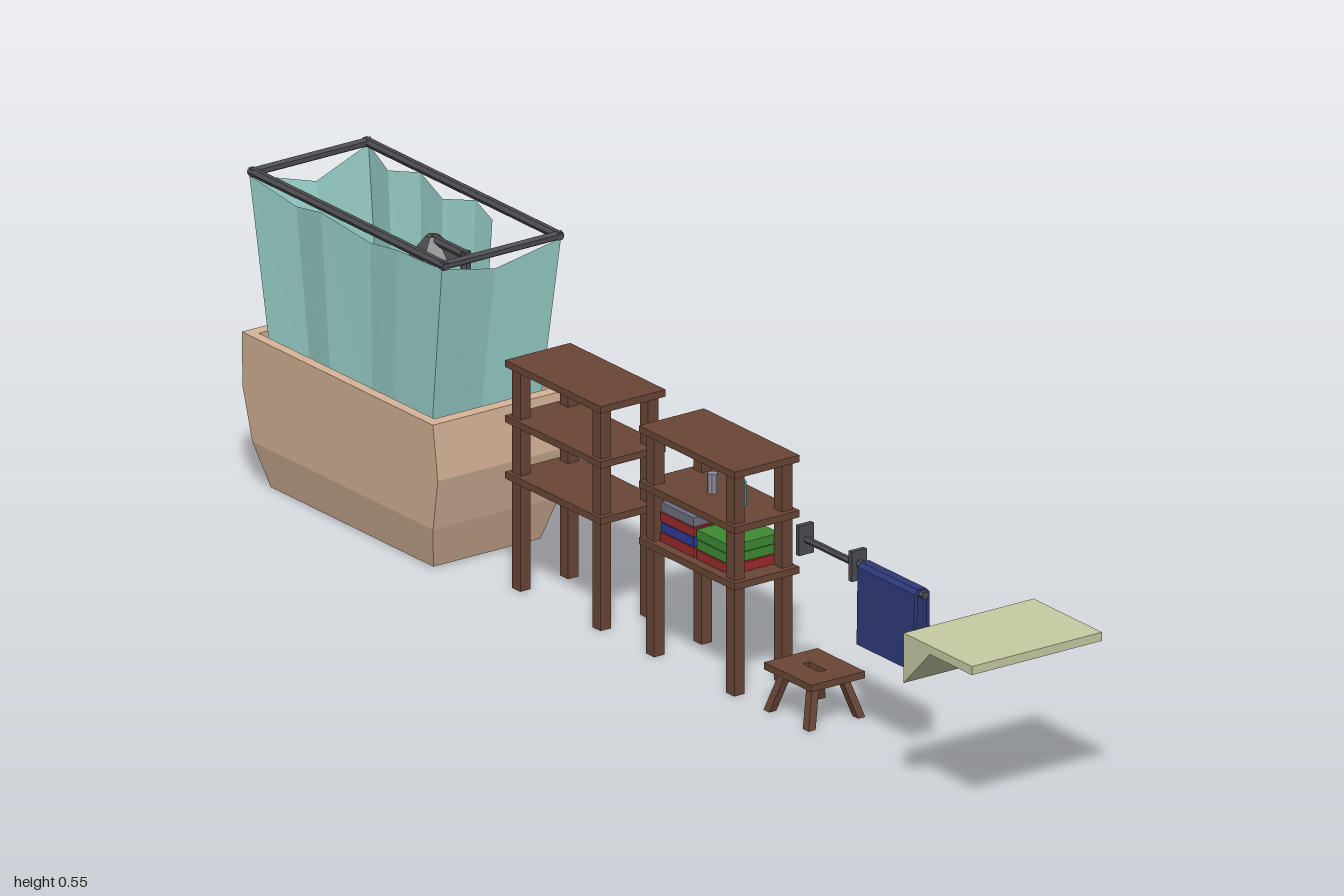
import * as THREE from 'three';

const mat = (color, side = THREE.FrontSide) =>
  new THREE.MeshStandardMaterial({ color, flatShading: true, side });

const WOOD = mat(0x6a4636), TAN = mat(0xd6b498), METAL = mat(0x4c4c52), NAVY = mat(0x2e3a78);
const TEAL = mat(0x9ad2cc, THREE.DoubleSide), OLIVE = mat(0xc6cba3);
const RED = mat(0x9a2a2a), BLUE = mat(0x2c3c96), GREEN = mat(0x3f8a35), GREY = mat(0x6c6f80);
const BOTTLE_TEAL = mat(0x4fa3a3), BOTTLE_GREY = mat(0x8f8a98);

function add(parent, name, geometry, material, x = 0, y = 0, z = 0) {
  const mesh = new THREE.Mesh(geometry, material);
  mesh.name = name;
  mesh.position.set(x, y, z);
  parent.add(mesh);
  return mesh;
}

const box = (parent, name, material, w, h, d, x, y, z) =>
  add(parent, name, new THREE.BoxGeometry(w, h, d), material, x, y, z);

function group(parent, name, x = 0, y = 0, z = 0) {
  const g = new THREE.Group();
  g.name = name;
  g.position.set(x, y, z);
  parent.add(g);
  return g;
}

// Cylinder running between two points
function rod(parent, name, material, a, b, r, sides = 6) {
  const p = new THREE.Vector3(...a), q = new THREE.Vector3(...b), dir = q.clone().sub(p);
  const mesh = add(parent, name, new THREE.CylinderGeometry(r, r, dir.length(), sides), material);
  mesh.position.copy(p).add(q).multiplyScalar(0.5);
  mesh.quaternion.setFromUnitVectors(new THREE.Vector3(0, 1, 0), dir.normalize());
  return mesh;
}

// Skin over rectangular rings [halfX, y, halfZ], closed at both ends
function ringSkin(rings) {
  const pos = [], idx = [];
  for (const [x, y, z] of rings) pos.push(x, y, z, x, y, -z, -x, y, -z, -x, y, z);
  for (let r = 0; r < rings.length - 1; r++)
    for (let i = 0; i < 4; i++) {
      const a = r * 4 + i, b = r * 4 + (i + 1) % 4;
      idx.push(a, b, b + 4, a, b + 4, a + 4);
    }
  const e = (rings.length - 1) * 4;
  idx.push(0, 2, 1, 0, 3, 2, e, e + 1, e + 2, e, e + 2, e + 3);
  const g = new THREE.BufferGeometry();
  g.setAttribute('position', new THREE.Float32BufferAttribute(pos, 3));
  g.setIndex(idx);
  const flat = g.toNonIndexed();
  flat.computeVertexNormals();
  return flat;
}

// Folded sheet hanging from top points [x, y, z], tapering towards the hem
function curtain(parent, name, points) {
  const pos = [], idx = [];
  points.forEach(([x, y, z], i) => {
    pos.push(x, y, z, x * 0.82, 0.2, z * 0.9);
    if (i) idx.push(2 * i - 2, 2 * i - 1, 2 * i + 1, 2 * i - 2, 2 * i + 1, 2 * i);
  });
  const g = new THREE.BufferGeometry();
  g.setAttribute('position', new THREE.Float32BufferAttribute(pos, 3));
  g.setIndex(idx);
  const flat = g.toNonIndexed();
  flat.computeVertexNormals();
  add(parent, name, flat, TEAL);
}

function makeBath(parent) {
  const bath = group(parent, 'bath', -0.732);
  // Tub: outer wall, rim, inner wall and floor
  add(bath, 'tub', ringSkin([
    [0.223, 0.002, 0.108], [0.248, 0.078, 0.127], [0.268, 0.17, 0.132], [0.262, 0.267, 0.1375],
    [0.24, 0.267, 0.119], [0.245, 0.17, 0.115], [0.225, 0.085, 0.108], [0.205, 0.03, 0.095],
  ]), TAN);

  // Curtain rail frame
  const X = 0.262, Y = 0.54, Z = 0.115;
  for (const s of [-1, 1]) {
    rod(bath, 'longRail', METAL, [-X - 0.006, Y, s * Z], [X + 0.006, Y, s * Z], 0.008);
    rod(bath, 'endRail', METAL, [s * X, Y, -Z - 0.006], [s * X, Y, Z + 0.006], 0.008);
  }

  // Curtains: full front and ends, part-open back
  curtain(bath, 'frontCurtain', [[-0.264, 0.535, 0.121], [-0.155, 0.511, 0.106], [-0.07, 0.53, 0.119],
    [0.05, 0.512, 0.108], [0.14, 0.53, 0.12], [0.264, 0.535, 0.121]]);
  curtain(bath, 'backCurtain', [[-0.264, 0.535, -0.119], [-0.19, 0.515, -0.104], [-0.12, 0.53, -0.118],
    [-0.04, 0.512, -0.104], [0.03, 0.528, -0.119], [0.08, 0.51, -0.116]]);
  for (const s of [-1, 1])
    curtain(bath, 'endCurtain', [[s * 0.264, 0.535, 0.121], [s * 0.245, 0.503, 0], [s * 0.264, 0.535, -0.119]]);

  // Shower pipe, arm and head
  const shower = group(bath, 'shower', 0.165);
  rod(shower, 'showerPipe', METAL, [0, 0.03, 0], [0, 0.508, 0], 0.009);
  rod(shower, 'showerArm', METAL, [0.008, 0.502, 0], [-0.09, 0.502, 0], 0.008);
  const head = add(shower, 'showerHead', new THREE.CylinderGeometry(0.012, 0.046, 0.04, 6), METAL, -0.09, 0.488, 0);
  head.rotation.y = Math.PI / 6;
}

function makeRack(parent, name, x) {
  const rack = group(parent, name, x);
  for (const y of [0.389, 0.293, 0.195]) box(rack, 'shelf', WOOD, 0.262, 0.012, 0.131, 0, y, 0);
  for (const sx of [-1, 1])
    for (const sz of [-1, 1])
      box(rack, 'leg', WOOD, 0.022, 0.385, 0.021, sx * 0.11, 0.1925, sz * 0.048);
  return rack;
}

function fillRack(rack) {
  // Folded towels in two piles on the lower shelf
  const piles = [[-0.047, [RED, BLUE, RED, GREY]], [0.052, [RED, GREEN, GREEN]]];
  for (const [x, colors] of piles)
    colors.forEach((m, i) => box(rack, 'foldedTowel', m, 0.093 - 0.003 * (i % 2), 0.016, 0.1, x, 0.21 + i * 0.0175, 0));
  // Bottles on the middle shelf
  add(rack, 'teaBottle', new THREE.CylinderGeometry(0.012, 0.012, 0.042, 8), BOTTLE_TEAL, 0.055, 0.32, 0);
  add(rack, 'bottleCap', new THREE.CylinderGeometry(0.005, 0.005, 0.009, 6), BOTTLE_GREY, 0.055, 0.345, 0);
  add(rack, 'greyBottle', new THREE.CylinderGeometry(0.009, 0.009, 0.034, 8), BOTTLE_GREY, -0.018, 0.316, 0);
}

function makeStool(parent) {
  const stool = group(parent, 'stool', 0.389);
  // Seat with a hand slot
  const shape = new THREE.Shape([[-0.065, -0.054], [0.065, -0.054], [0.065, 0.054], [-0.065, 0.054]]
    .map(p => new THREE.Vector2(...p)));
  shape.holes.push(new THREE.Path([[-0.023, -0.007], [-0.023, 0.007], [0.023, 0.007], [0.023, -0.007]]
    .map(p => new THREE.Vector2(...p))));
  const seat = new THREE.ExtrudeGeometry(shape, { depth: 0.012, bevelEnabled: false });
  seat.rotateX(-Math.PI / 2);
  add(stool, 'seat', seat, WOOD, 0, 0.07, 0);
  // Splayed square legs, sheared outwards towards the floor
  for (const sx of [-1, 1])
    for (const sz of [-1, 1]) {
      const leg = new THREE.BoxGeometry(0.016, 0.07, 0.014);
      const p = leg.attributes.position;
      for (let i = 0; i < p.count; i++) {
        const down = 0.5 - p.getY(i) / 0.07;
        p.setX(i, p.getX(i) + sx * (0.036 + 0.018 * down));
        p.setZ(i, p.getZ(i) + sz * (0.029 + 0.021 * down));
      }
      leg.computeVertexNormals();
      add(stool, 'stoolLeg', leg, WOOD, 0, 0.036, 0);
    }
}

function makeTowelBars(parent) {
  const bars = group(parent, 'towelBars');
  // Empty bar between two end plates
  for (const x of [0.363, 0.508]) box(bars, 'endPlate', METAL, 0.009, 0.052, 0.03, x, 0.297, 0);
  rod(bars, 'emptyBar', METAL, [0.363, 0.297, 0], [0.508, 0.297, 0], 0.006);
  // Bar with a towel folded over it
  rod(bars, 'towelBar', METAL, [0.508, 0.3, 0], [0.694, 0.3, 0], 0.007);
  const outline = [[-0.017, 0.168], [-0.010, 0.168], [-0.009, 0.299], [0.009, 0.299], [0.010, 0.168],
    [0.017, 0.168], [0.015, 0.302], [0.008, 0.309], [-0.008, 0.309], [-0.015, 0.302]];
  const towel = new THREE.ExtrudeGeometry(new THREE.Shape(outline.map(p => new THREE.Vector2(...p))),
    { depth: 0.156, bevelEnabled: false });
  towel.rotateY(Math.PI / 2);
  add(bars, 'hangingTowel', towel, NAVY, 0.528, 0, 0);
}

// Wall shelf: flat top with a triangular brace below
function makeWallShelf(parent) {
  const profile = [[0.812, 0.215], [0.884, 0.287], [1, 0.287], [1, 0.302], [0.812, 0.302]];
  const g = new THREE.ExtrudeGeometry(new THREE.Shape(profile.map(p => new THREE.Vector2(...p))),
    { depth: 0.262, bevelEnabled: false });
  add(parent, 'wallShelf', g, OLIVE, 0, 0, -0.131);
}

export function createModel() {
  const model = new THREE.Group();
  model.name = 'bathroomSet';
  makeBath(model);
  makeRack(model, 'emptyRack', -0.239);
  fillRack(makeRack(model, 'filledRack', 0.128));
  makeStool(model);
  makeTowelBars(model);
  makeWallShelf(model);
  return model;
}
